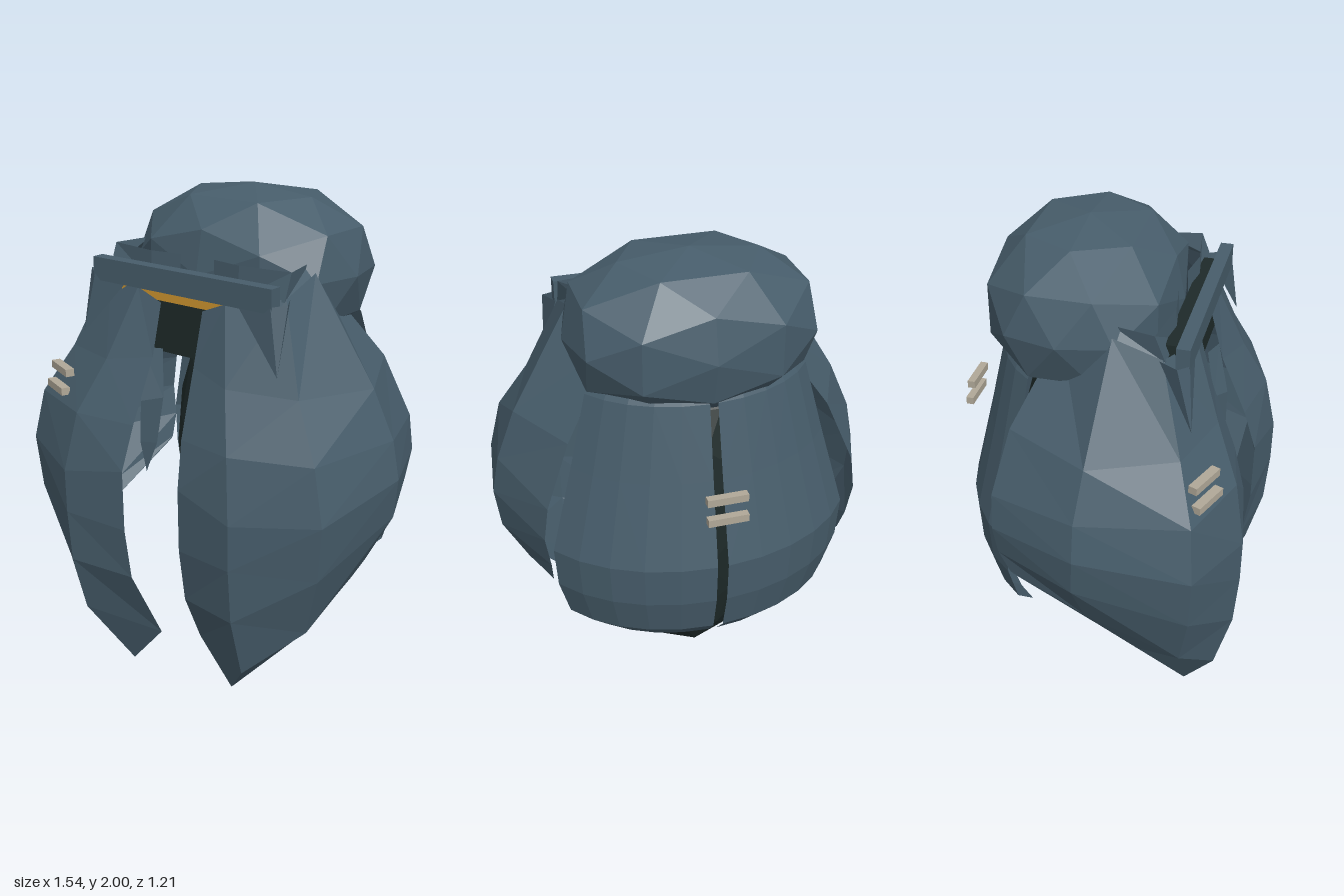
import * as THREE from 'three';

const mat = (name, color, side = THREE.FrontSide) => {
  const m = new THREE.MeshStandardMaterial({ color, side, flatShading: true });
  m.name = name;
  return m;
};

// Faceted surface through rows of [x, y, z] points
function loft(rows) {
  const pos = [];
  for (let r = 0; r < rows.length - 1; r++) {
    for (let c = 0; c < rows[r].length - 1; c++) {
      const a = rows[r][c], b = rows[r][c + 1];
      const d = rows[r + 1][c], e = rows[r + 1][c + 1];
      pos.push(...a, ...d, ...b, ...b, ...d, ...e);
    }
  }
  const g = new THREE.BufferGeometry();
  g.setAttribute('position', new THREE.Float32BufferAttribute(pos, 3));
  g.computeVertexNormals();
  return g;
}

// Faceted ball swollen slightly towards a box
function boxyBall(power, sx, sy, sz) {
  const g = new THREE.IcosahedronGeometry(1, 1);
  const p = g.attributes.position;
  for (let i = 0; i < p.count; i++) {
    const v = [p.getX(i), p.getY(i), p.getZ(i)];
    const n = v.reduce((sum, k) => sum + Math.abs(k) ** power, 0) ** (1 / power);
    p.setXYZ(i, v[0] / n * sx, v[1] / n * sy, v[2] / n * sz);
  }
  g.computeVertexNormals();
  return g;
}

export function createModel() {
  const group = new THREE.Group();
  const blue = mat('slateBlue', 0x475d6b, THREE.DoubleSide);
  const dark = mat('darkGreen', 0x1e2a29);
  const amber = mat('amber', 0xcf962f);
  const bone = mat('bone', 0xb0a898);

  const add = (name, geo, material, x = 0, y = 0, z = 0) => {
    const m = new THREE.Mesh(geo, material);
    m.name = name;
    m.position.set(x, y, z);
    group.add(m);
    return m;
  };

  // Inner body and hood
  add('innerBody', new THREE.IcosahedronGeometry(1, 2).scale(0.35, 0.72, 0.28), dark, 0, 0.9, -0.1);
  add('hood', boxyBall(2.5, 0.48, 0.3, 0.36), blue, 0, 1.7, -0.09);

  // Face: dark plate, glowing slit and brow bar
  add('facePlate', new THREE.BoxGeometry(0.7, 0.3, 0.06), dark, 0, 1.55, 0.3);
  add('eyeSlit', new THREE.BoxGeometry(0.62, 0.05, 0.009), amber, 0, 1.628, 0.338);
  add('browBar', new THREE.BoxGeometry(0.85, 0.09, 0.05), blue, 0, 1.69, 0.35);

  for (const s of [1, -1]) {
    const side = s > 0 ? 'left' : 'right';
    const flip = rows => rows.map(row => row.map(([x, y, z]) => [x * s, y, z]));
    // The right wing hangs lower than the left
    const tip = s > 0 ? [0.28, 0.1, 0.42] : [0.28, 0, 0.385];
    const innerY = s > 0 ? 0.26 : 0.2;
    const hem = s > 0 ? [0.57, 0.42, 0.33] : [0.57, 0.43, 0.24];
    const corner = s > 0 ? [0.43, 0.29, 0.46] : [0.46, 0.32, 0.28];

    // Front wing: columns run from the inner front edge round to the rear edge
    const wing = [
      [[0.1, 1.6, 0.355], [0.21, 1.645, 0.36], [0.42, 1.68, 0.28], [0.42, 1.74, 0.1], [0.3, 1.66, -0.12]],
      [[0.1, 1.4, 0.41], [0.29, 1.37, 0.465], [0.55, 1.36, 0.38], [0.66, 1.34, 0.06], [0.51, 1.36, -0.26]],
      [[0.12, 1.15, 0.51], [0.37, 1.16, 0.56], [0.67, 1.16, 0.45], [0.74, 1.15, 0.04], [0.61, 1.12, -0.31]],
      [[0.14, 0.97, 0.56], [0.41, 0.92, 0.605], [0.72, 0.95, 0.47], [0.77, 1.0, 0.04], [0.63, 0.98, -0.31]],
      [[0.14, 0.72, 0.56], [0.41, 0.74, 0.605], [0.7, 0.73, 0.46], [0.75, 0.84, 0.03], [0.61, 0.85, -0.3]],
      [[0.14, 0.5, 0.53], [0.41, 0.52, 0.59], [0.63, 0.48, 0.42], [0.65, 0.64, 0.05], [0.6, 0.75, -0.26]],
      [[0.105, innerY, 0.4], [0.41, 0.27, 0.525], hem, [0.62, 0.57, 0.1], [0.6, 0.74, -0.25]],
    ];
    add(side + 'FrontWing', loft(flip(wing)), blue);
    const [inner, ridge] = wing[6];
    add(side + 'WingTip', loft(flip([[inner, ridge, hem], [tip, tip, corner]])), blue);
    add(side + 'WingTipEdge', loft(flip([[ridge, corner], [tip, tip]])), blue);

    // Narrow lappet hanging inside the wing's front edge
    add(side + 'Lappet', loft(flip([
      [[0.1, 1.42, 0.35], [0.18, 1.42, 0.38]],
      [[0.07, 1.24, 0.39], [0.15, 1.22, 0.43]],
      [[0.1, 1.05, 0.4], [0.16, 1.05, 0.43]],
      [[0.15, 0.92, 0.41], [0.15, 0.92, 0.41]],
    ])), blue);

    // Raised collar behind the brow bar
    add(side + 'Collar', loft(flip([
      [[0.08, 1.77, 0.26], [0.21, 1.77, 0.28], [0.42, 1.77, 0.25], [0.385, 1.77, 0.09]],
      [[0.08, 1.65, 0.265], [0.21, 1.65, 0.285], [0.42, 1.67, 0.29], [0.42, 1.72, 0.1]],
    ])), blue);

    // Pointed flap hanging beside the brow bar
    add(side + 'CheekFlap', loft(flip([
      [[0.27, 1.65, 0.365], [0.42, 1.67, 0.375], [0.47, 1.68, 0.34], [0.43, 1.68, 0.27]],
      [[0.47, 1.43, 0.4], [0.47, 1.43, 0.4], [0.47, 1.43, 0.4], [0.47, 1.43, 0.4]],
    ])), blue);

    // Back shell: part of an elliptical barrel, [height, depth]
    const profile = [[1.68, 0.31], [1.53, 0.38], [1.24, 0.445], [0.9, 0.527],
      [0.73, 0.518], [0.57, 0.48], [0.49, 0.41]];
    const shell = profile.map(([y, r]) => {
      const row = [];
      for (let i = 0; i <= 5; i++) {
        const a = (1.8 + i * 12) * Math.PI / 180;
        row.push([1.28 * r * Math.sin(a), y, -0.03 - r * Math.cos(a)]);
      }
      return row;
    });
    add(side + 'BackShell', loft(flip(shell)), blue);
  }

  // Small bars on the right wing and across the back seam
  for (const [x, y, z] of [[-0.535, 1.285, 0.465], [-0.547, 1.21, 0.482]]) {
    add('wingBar', new THREE.BoxGeometry(0.15, 0.03, 0.035), bone, x, y, z).rotation.y = -0.39;
  }
  for (const [y, z] of [[1.23, -0.58], [1.15, -0.592]]) {
    add('backBar', new THREE.BoxGeometry(0.155, 0.03, 0.03), bone, 0, y, z);
  }
  return group;
}
